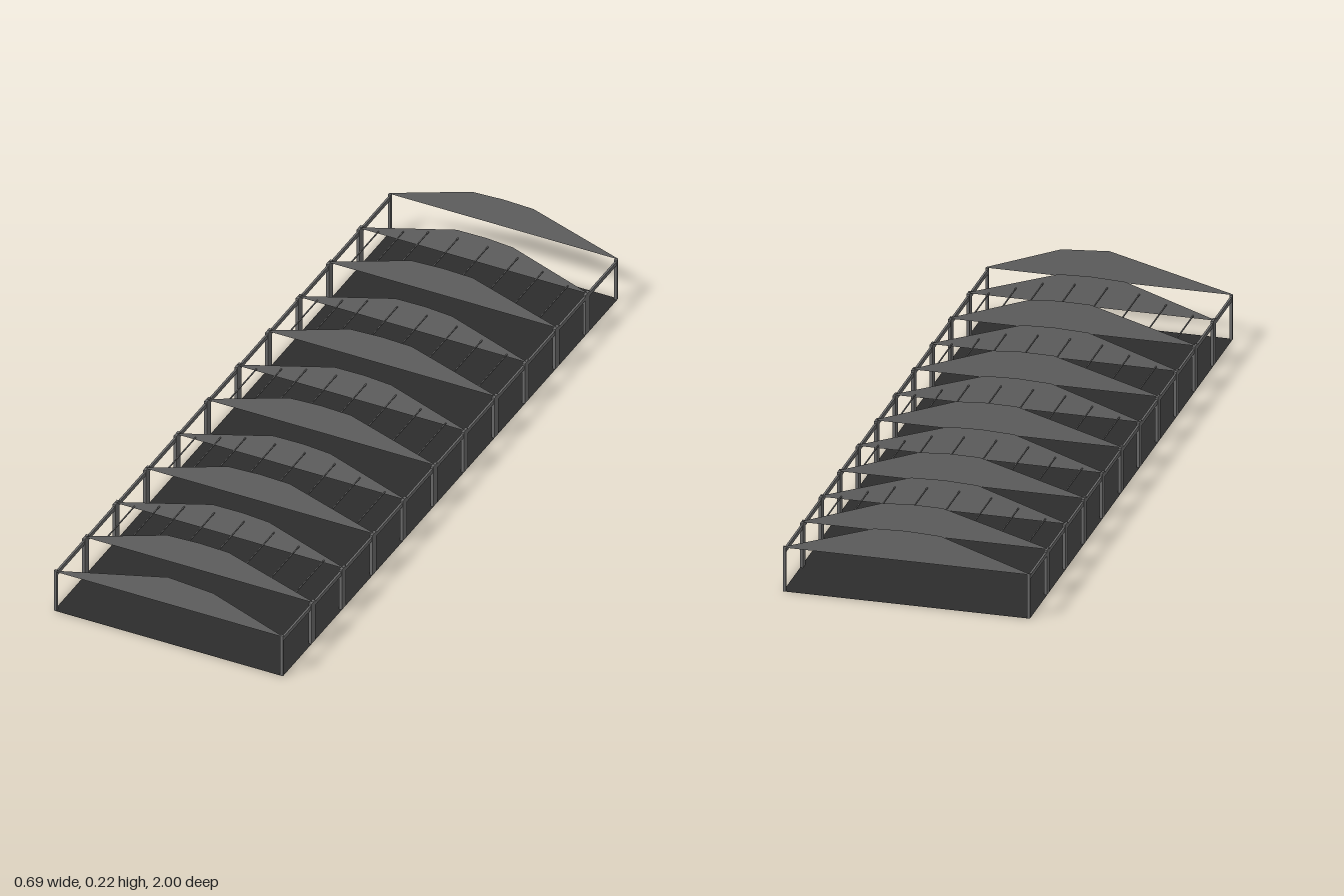
import * as THREE from 'three';

const HALF_W = 0.345, EAVE = 0.13, FRAMES = 12;

export function createModel() {
  const model = new THREE.Group();
  model.name = 'hallFrame';

  const steel = new THREE.MeshStandardMaterial({ color: 0x6a6a6a, side: THREE.DoubleSide });
  steel.name = 'grey steel';
  const slab = new THREE.MeshStandardMaterial({ color: 0x2d2d2d, side: THREE.DoubleSide });
  slab.name = 'dark floor';

  function add(name, geometry, material, x, y, z) {
    const mesh = new THREE.Mesh(geometry, material);
    mesh.name = name;
    mesh.position.set(x, y, z);
    model.add(mesh);
    return mesh;
  }

  // Floor sheet
  add('floor', new THREE.PlaneGeometry(2 * HALF_W, 2), slab, 0, 0, 0).rotation.x = -Math.PI / 2;

  // Roof girder outlines: straight slopes up to a shallow crown
  const crowns = [
    [[0.135, 0.206], [0, 0.216]],
    [[0.12, 0.209], [0.04, 0.215], [-0.05, 0.214]],
    [[0.09, 0.213], [0, 0.216], [-0.095, 0.212]],
  ];
  const girders = crowns.map((crown) => {
    const points = [[-HALF_W, EAVE - 0.002], [HALF_W, EAVE - 0.002], [HALF_W, EAVE], ...crown, [-HALF_W, EAVE]];
    return new THREE.ShapeGeometry(new THREE.Shape(points.map((p) => new THREE.Vector2(...p))));
  });

  const frameZ = (i) => 1 - (2 * i) / (FRAMES - 1);
  for (let i = 0; i < FRAMES; i++) {
    const z = frameZ(i);
    const end = i === 0 || i === FRAMES - 1;
    const crown = i === 0 ? 0 : end ? 2 : 1 + (i % 2);
    add('roofGirder', girders[crown], steel, 0, 0, z);

    // Columns, slimmer at the two ends
    const depth = end ? 0.008 : 0.024;
    const columnZ = end ? z - Math.sign(z) * depth / 2 : z;
    for (const side of [-1, 1]) {
      add('column', new THREE.BoxGeometry(0.008, EAVE, depth), steel,
        side * (HALF_W - 0.004), EAVE / 2, columnZ);
    }
  }

  // Eaves beams between neighbouring columns
  const bay = 2 / (FRAMES - 1);
  for (let i = 0; i < FRAMES - 1; i++) {
    const z = (frameZ(i) + frameZ(i + 1)) / 2;
    for (const side of [-1, 1]) {
      add('eavesBeam', new THREE.BoxGeometry(0.006, 0.012, bay - 0.016), steel,
        side * (HALF_W - 0.004), 0.118, z);
    }
  }

  // Thin purlins in every second bay
  const purlins = [[0.285, 0.135], [0.21, 0.158], [0.135, 0.18], [0.045, 0.188]];
  for (let i = 1; i < FRAMES - 2; i += 2) {
    const z = (frameZ(i) + frameZ(i + 1)) / 2;
    for (const [x, y] of purlins) {
      for (const side of [-1, 1]) {
        add('purlin', new THREE.BoxGeometry(0.003, 0.003, bay), steel, side * x, y, z);
      }
    }
  }
  return model;
}
